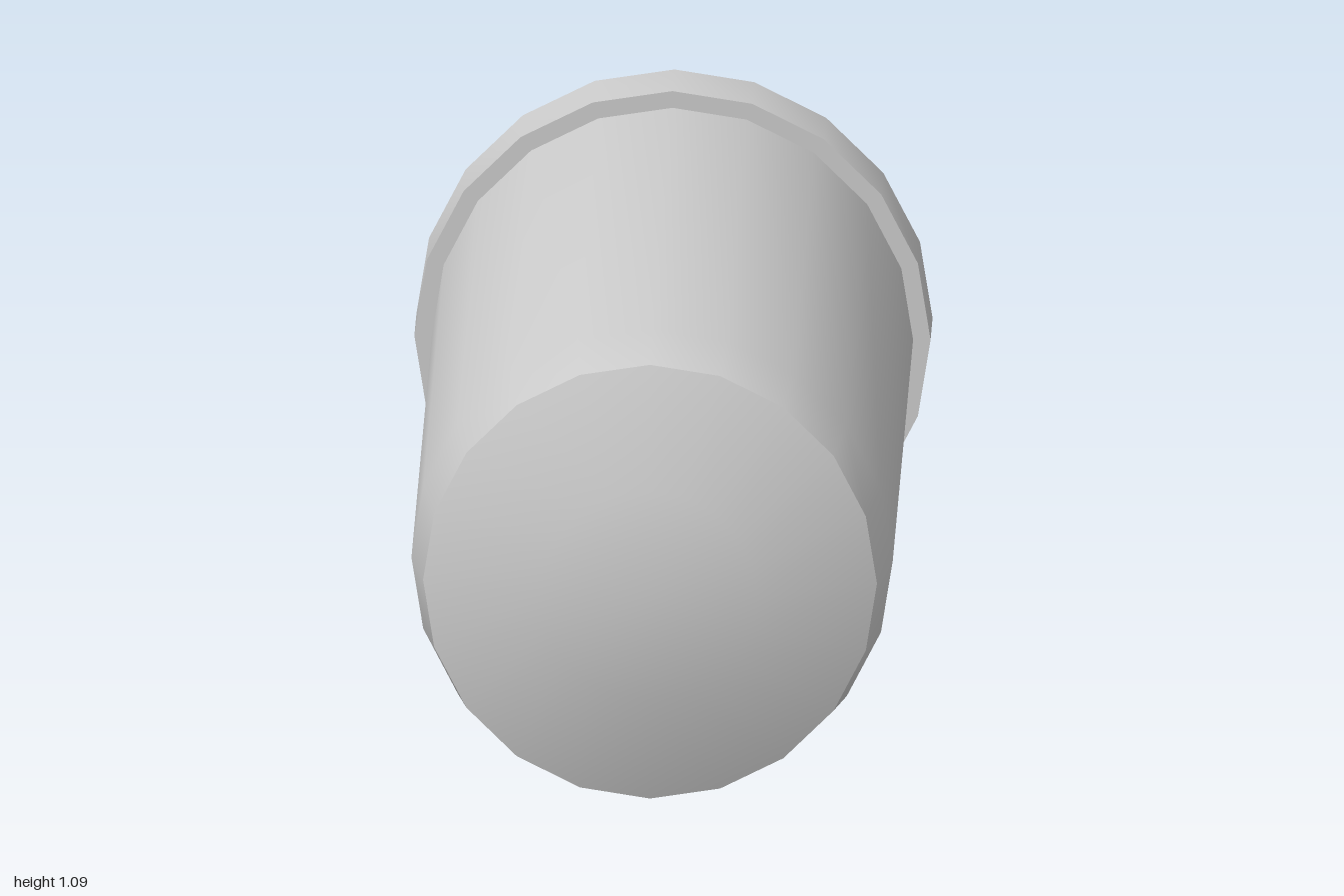
import * as THREE from 'three';
import { toCreasedNormals } from 'three/addons/utils/BufferGeometryUtils.js';

const SIDES = 20;
const CENTRE_Y = 0.55;

// Revolves a profile of [radius, z] points about the z axis.
function revolve(name, profile) {
  const points = profile.map(([r, z]) => new THREE.Vector2(r, z));
  const lathe = new THREE.LatheGeometry(points, SIDES);
  lathe.rotateX(Math.PI / 2);
  const geometry = toCreasedNormals(lathe, THREE.MathUtils.degToRad(30));
  const mesh = new THREE.Mesh(geometry, new THREE.MeshStandardMaterial({ color: 0xcccccc }));
  mesh.name = name;
  mesh.position.y = CENTRE_Y;
  return mesh;
}

export function createModel() {
  const group = new THREE.Group();
  group.name = 'flangedPlug';

  // Wide flange at the back, with a ring-shaped shoulder
  group.add(revolve('flange', [
    [0, -1], [0.547, -1], [0.547, -0.845], [0.51, -0.845],
  ]));

  // Long barrel, slight taper, then a blunt cone with a flat tip
  group.add(revolve('barrel', [
    [0.51, -0.845], [0.51, 0.74], [0.481, 0.9], [0.231, 1], [0, 1],
  ]));

  return group;
}
